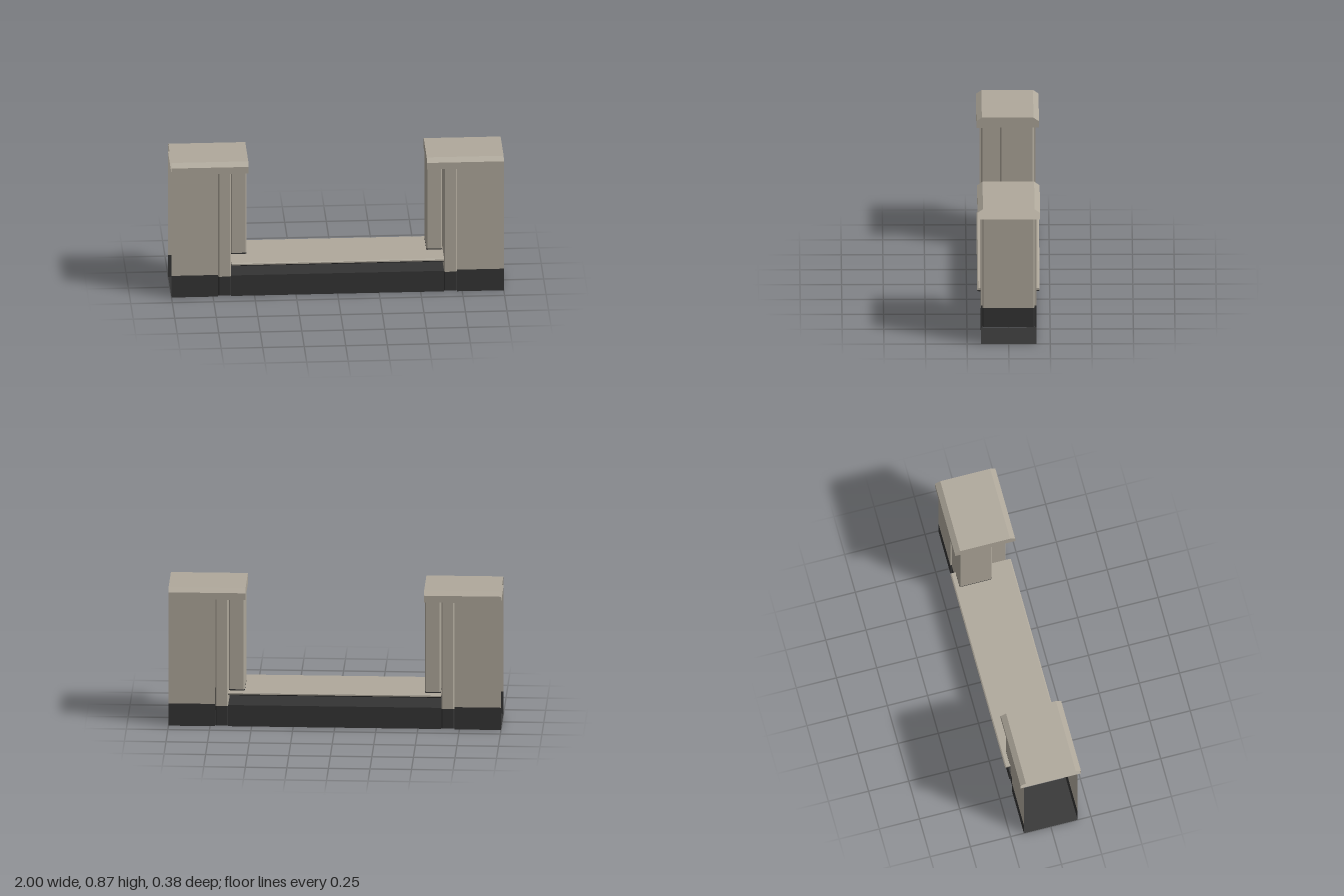
import * as THREE from 'three';

const stone = new THREE.MeshStandardMaterial({ color: 0xafa89b, side: THREE.DoubleSide });
stone.name = 'warm stone';
const dark = new THREE.MeshStandardMaterial({ color: 0x343434, side: THREE.DoubleSide });
dark.name = 'charcoal';

function add(parent, name, geometry, material) {
  const mesh = new THREE.Mesh(geometry, material);
  mesh.name = name;
  parent.add(mesh);
  return mesh;
}

// Flat-faced skin swept along x from a list of [z, y] points
function strip(points, x0, x1) {
  const v = [];
  for (let i = 0; i < points.length - 1; i++) {
    const [z0, y0] = points[i], [z1, y1] = points[i + 1];
    v.push(x0, y0, z0, x1, y0, z0, x1, y1, z1);
    v.push(x0, y0, z0, x1, y1, z1, x0, y1, z1);
  }
  const g = new THREE.BufferGeometry();
  g.setAttribute('position', new THREE.Float32BufferAttribute(v, 3));
  g.computeVertexNormals();
  return g;
}

// Filled end face of a [z, y] profile at the given x
function endFace(points, x) {
  const g = new THREE.ShapeGeometry(new THREE.Shape(points.map(([z, y]) => new THREE.Vector2(z, y))));
  return g.rotateY(-Math.PI / 2).translate(x, 0, 0);
}

// Upright block with small chamfers on its vertical corners
function post(x0, x1, z0, z1, y0, y1, c = 0.007) {
  const s = new THREE.Shape([
    [x0 + c, -z1], [x1 - c, -z1], [x1, -z1 + c], [x1, -z0 - c],
    [x1 - c, -z0], [x0 + c, -z0], [x0, -z0 - c], [x0, -z1 + c],
  ].map(([x, y]) => new THREE.Vector2(x, y)));
  const g = new THREE.ExtrudeGeometry(s, { depth: y1 - y0, bevelEnabled: false });
  return g.rotateX(-Math.PI / 2).translate(0, y0, 0);
}

// Wall end with coping; s is the side, +1 or -1. The outer end is open.
function pillar(s) {
  const g = new THREE.Group();
  g.name = s > 0 ? 'leftPillar' : 'rightPillar';
  const W = 0.167, plinth = 0.14, top = 0.802;
  const span = (a, b) => s > 0 ? [a, b] : [-b, -a];

  // Outer wall skin, floor and narrow return edges
  add(g, 'plinthSkin', strip([[W, plinth], [W, 0], [-W, 0], [-W, plinth]], ...span(0.72, 1)), dark);
  for (const side of [1, -1]) {
    add(g, 'wallSkin', strip([[side * W, plinth], [side * W, top]], ...span(0.72, 1)), stone);
    for (const [y0, y1, m] of [[0, plinth, dark], [plinth, top, stone]]) {
      const edge = new THREE.PlaneGeometry(0.011, y1 - y0).rotateY(Math.PI / 2);
      add(g, 'wallReturn', edge, m).position.set(s * 0.72, (y0 + y1) / 2, side * (W - 0.0055));
    }
  }

  // Recessed column
  const [cx0, cx1] = span(0.641, 0.719);
  add(g, 'columnFoot', post(cx0, cx1, -0.158, 0.158, 0.002, 0.124), dark);
  add(g, 'column', post(cx0, cx1, -0.158, 0.158, 0.124, top), stone);

  // Inner block standing over the sill
  const [px0, px1] = span(0.541, 0.637);
  add(g, 'innerBlockBase', post(px0, px1, -0.157, 0.045, 0.224, 0.231), dark);
  add(g, 'innerBlock', post(px0, px1, -0.157, 0.045, 0.231, top), stone);

  // Coping, closed towards the middle
  const cap = [[0.188, 0.802], [0.188, 0.844], [0.155, 0.867], [-0.155, 0.867], [-0.188, 0.844], [-0.188, 0.802]];
  add(g, 'coping', strip([...cap, cap[0]], ...span(0.537, 1)), stone);
  add(g, 'copingEnd', endFace(cap, s * 0.537), stone);
  return g;
}

export function createModel() {
  const model = new THREE.Group();
  model.name = 'lowWallWithPillars';
  model.add(pillar(1), pillar(-1));

  // Low base between the pillars
  add(model, 'base', new THREE.BoxGeometry(1.284, 0.133, 0.326), dark).position.y = 0.0665;

  // Sill slab with chamfered edges and a dark underside
  const sill = [[0.181, 0.205], [0.188, 0.208], [0.188, 0.216], [0.181, 0.221],
    [-0.181, 0.221], [-0.188, 0.216], [-0.188, 0.208], [-0.181, 0.205]];
  const under = [[0.188, 0.208], [0.181, 0.201], [-0.181, 0.201], [-0.188, 0.208]];
  add(model, 'sill', strip(sill.slice(1, 7), -0.64, 0.64), stone);
  add(model, 'sillUnderside', strip(under, -0.64, 0.64), dark);
  for (const x of [-0.64, 0.64]) {
    add(model, 'sillEnd', endFace(sill.slice(1, 7), x), stone);
    add(model, 'sillUndersideEnd', endFace(under, x), dark);
  }
  return model;
}
